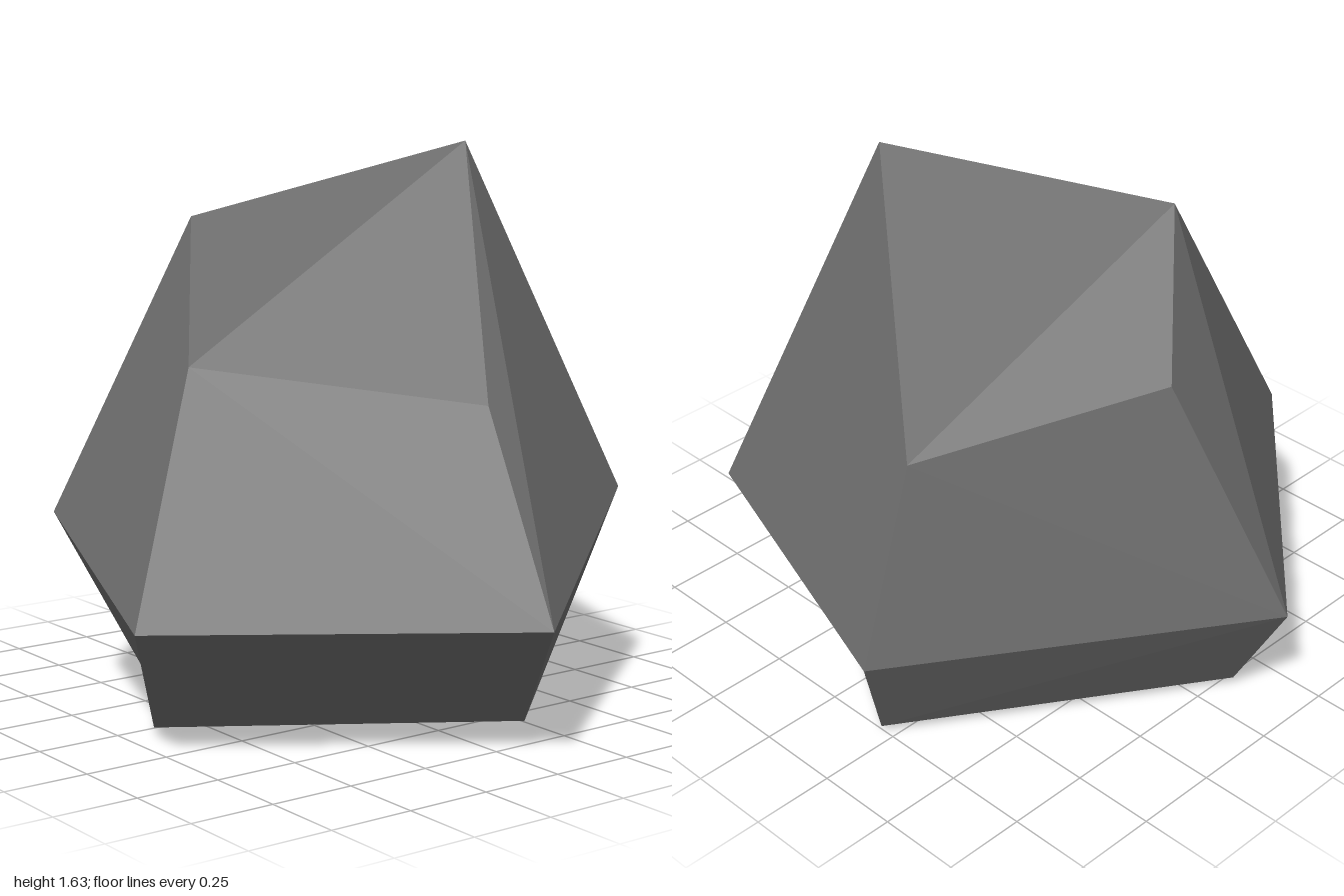
import * as THREE from 'three';

// Corner points of the stone, from the peak down to the underside
const P = {
  peak: [0.13, 1.63, -0.39], shoulder: [-0.39, 1.405, 0.23],
  upLeft: [-0.67, 1.07, -0.08], upFront: [0.06, 1.03, 0.54],
  upRight: [0.62, 0.935, -0.07], upBack: [-0.3, 0.94, -0.71],
  midLeft: [-1, 0.39, 0.07], midFront: [0.37, 0.39, 0.92],
  midRight: [1, 0.39, 0.02], midBack: [-0.34, 0.39, -0.925],
  cornerFront: [-0.4, 0.57, 0.71], cornerBack: [0.41, 0.6, -0.765],
  lowLeft: [-0.79, 0.03, 0.11], lowFront: [0.08, 0.03, 0.68],
  lowRight: [0.65, 0.03, -0.19], lowBack: [-0.22, 0.03, -0.765],
  keelFront: [-0.36, 0, 0.4], keelBack: [0.22, 0, -0.48],
};

// Four-sided facets, corners listed around each facet
const FACETS = [
  // crown
  'peak shoulder upFront upRight', 'peak shoulder upLeft upBack',
  'upFront midFront midRight upRight', 'upLeft midLeft midBack upBack',
  'shoulder upLeft midLeft cornerFront', 'shoulder upFront midFront cornerFront',
  'peak upBack midBack cornerBack', 'peak upRight midRight cornerBack',
  // lower sides
  'midLeft cornerFront keelFront lowLeft', 'cornerFront midFront lowFront keelFront',
  'midFront midRight lowRight lowFront', 'midRight cornerBack keelBack lowRight',
  'cornerBack midBack lowBack keelBack', 'midBack midLeft lowLeft lowBack',
  // underside, with a shallow keel
  'lowFront lowRight keelBack keelFront', 'lowBack lowLeft keelFront keelBack',
];

function stoneGeometry() {
  const centre = new THREE.Vector3(0, 0.6, 0);
  const positions = [];
  for (const facet of FACETS) {
    let c = facet.split(' ').map((name) => new THREE.Vector3(...P[name]));
    // Turn the facet so that it faces away from the centre
    const normal = c[2].clone().sub(c[0]).cross(c[3].clone().sub(c[1]));
    if (normal.dot(c[0].clone().sub(centre)) < 0) c = c.reverse();
    for (const i of [0, 1, 2, 0, 2, 3]) positions.push(...c[i].toArray());
  }
  const geometry = new THREE.BufferGeometry();
  geometry.setAttribute('position', new THREE.Float32BufferAttribute(positions, 3));
  geometry.computeVertexNormals();
  return geometry;
}

export function createModel() {
  const group = new THREE.Group();
  group.name = 'rock';
  const stoneGrey = new THREE.MeshStandardMaterial({ color: 0x6a6a6a, flatShading: true });
  stoneGrey.name = 'stone grey';
  const stone = new THREE.Mesh(stoneGeometry(), stoneGrey);
  stone.name = 'stone';
  group.add(stone);
  return group;
}
